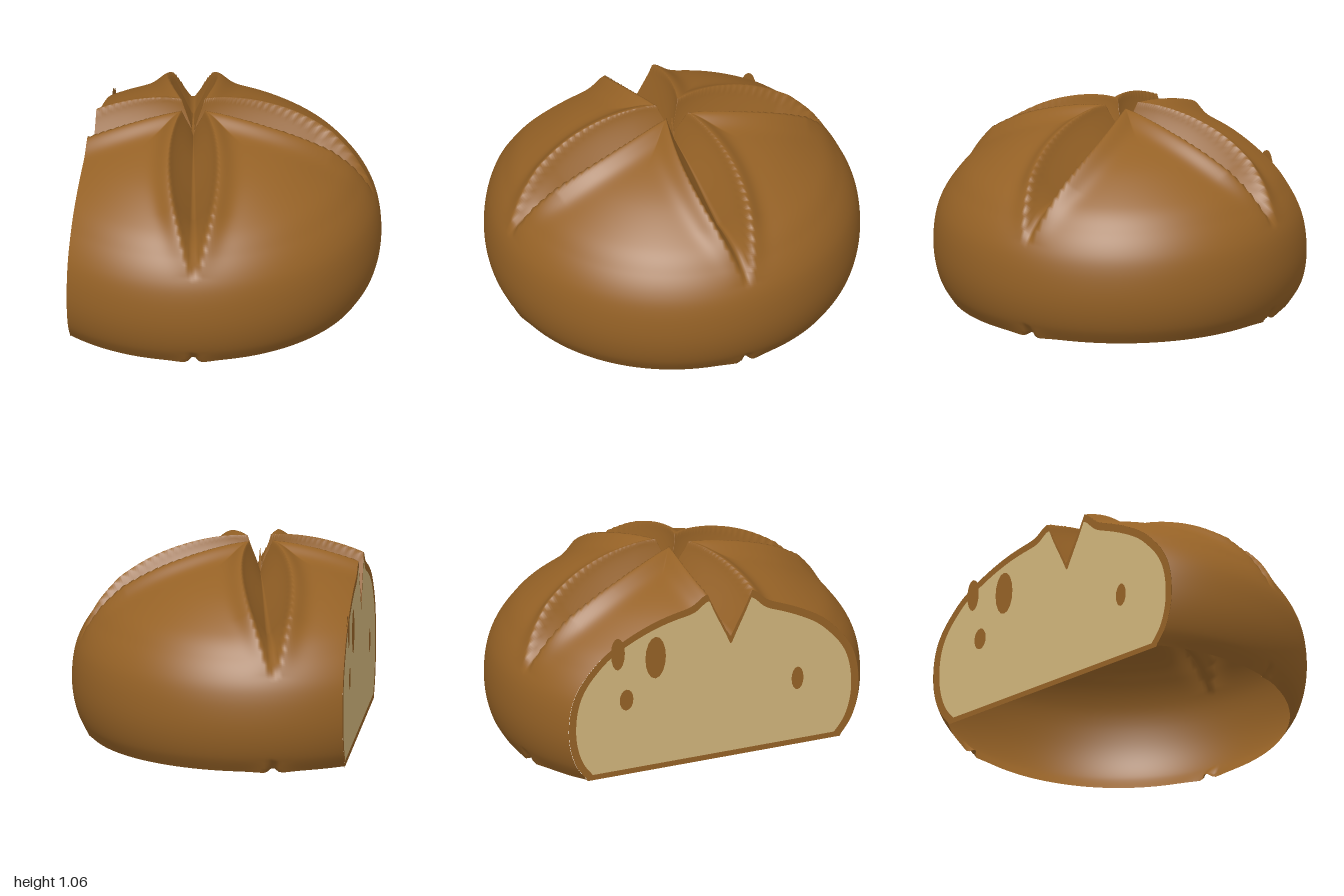
import * as THREE from 'three';
import { mergeVertices } from 'three/addons/utils/BufferGeometryUtils.js';

const CENTER_X = -0.21;          // axis of the round loaf
const CUT_X = -0.741, CUT_K = 0.059; // cut plane: x = CUT_X + CUT_K * z
const SLASH_LENGTH = 0.95;

const crust = new THREE.MeshStandardMaterial({ color: 0x966226, side: THREE.DoubleSide });
crust.name = 'crustBrown';
const crumb = new THREE.MeshStandardMaterial({ color: 0xd2b67c, side: THREE.DoubleSide });
crumb.name = 'crumbCream';

// Height offset of the crust: four leaf-shaped slashes with raised lips
function slashOffset(x, z) {
  let groove = 0, lip = 0;
  const dir = Math.atan2(0.9, 0.22);
  for (let i = 0; i < 4; i++) {
    const a = dir + i * Math.PI / 2;
    const t = x * Math.cos(a) + z * Math.sin(a);
    let s = Math.abs(-x * Math.sin(a) + z * Math.cos(a));
    if (t < 0) s = Math.hypot(s, t);
    const q = Math.min(1, Math.max(0, t / SLASH_LENGTH));
    if (t > SLASH_LENGTH) s = Math.hypot(s, t - SLASH_LENGTH);
    const w = 0.012 + 0.022 * (1 - q) + 0.1 * Math.pow(Math.sin(Math.PI * q), 0.8);
    const fade = Math.min(1, (1 - q) * 4);
    const g = Math.pow(Math.max(0, 1 - s / w), 0.75);
    const depth = (0.13 + 0.07 * Math.sin(Math.PI * q)) * Math.min(1, 0.1 + (1 - q) * 3);
    groove = Math.max(groove, g * (depth + 0.05 * fade));
    lip = Math.max(lip, 0.05 * fade * Math.exp(-Math.pow(Math.max(0, s - w) / 0.07, 2)));
  }
  return lip - groove;
}

// Round dome, displaced by the slashes
function makeDome() {
  const profile = new THREE.SplineCurve([
    [0.91, 0.008], [0.96, 0.09], [0.99, 0.19], [1, 0.3], [0.99, 0.42], [0.96, 0.52], [0.9, 0.62],
    [0.8, 0.73], [0.6, 0.865], [0.4, 0.95], [0.2, 0.997], [0, 1.01],
  ].map(([r, y]) => new THREE.Vector2(r, y)));
  const points = profile.getSpacedPoints(150);
  points[150].x = 0;
  const geo = new THREE.LatheGeometry(points, 300);
  const p = geo.attributes.position, n = geo.attributes.normal;
  for (let i = 0; i < p.count; i++) {
    const x = p.getX(i), y = p.getY(i), z = p.getZ(i);
    const d = slashOffset(x, z), h = d * Math.min(1, Math.hypot(x, z) * 2);
    p.setXYZ(i, CENTER_X + x + n.getX(i) * h, y + n.getY(i) * d, z + n.getZ(i) * h);
  }
  geo.deleteAttribute('uv');
  geo.deleteAttribute('normal');
  const merged = mergeVertices(geo, 1e-5);
  merged.computeVertexNormals();
  return merged;
}

// Slice away everything beyond the cut plane; also return the section outline
function sliceDome(geo) {
  const p = geo.attributes.position, n = geo.attributes.normal, index = geo.index;
  const positions = [], normals = [], outline = [];
  for (let i = 0; i < index.count; i += 3) {
    const tri = [0, 1, 2].map((k) => {
      const pos = new THREE.Vector3().fromBufferAttribute(p, index.getX(i + k));
      const nor = new THREE.Vector3().fromBufferAttribute(n, index.getX(i + k));
      return { pos, nor, f: pos.x - CUT_X - CUT_K * pos.z };
    });
    const poly = [];
    tri.forEach((a, k) => {
      const b = tri[(k + 1) % 3];
      if (a.f >= 0) poly.push(a);
      if ((a.f >= 0) !== (b.f >= 0)) {
        const t = a.f / (a.f - b.f);
        const v = { pos: a.pos.clone().lerp(b.pos, t), nor: a.nor.clone().lerp(b.nor, t).normalize() };
        poly.push(v);
        outline.push(new THREE.Vector2(v.pos.z, v.pos.y));
      }
    });
    for (let k = 1; k + 1 < poly.length; k++) {
      for (const v of [poly[0], poly[k], poly[k + 1]]) {
        positions.push(v.pos.x, v.pos.y, v.pos.z);
        normals.push(v.nor.x, v.nor.y, v.nor.z);
      }
    }
  }
  const out = new THREE.BufferGeometry();
  out.setAttribute('position', new THREE.Float32BufferAttribute(positions, 3));
  out.setAttribute('normal', new THREE.Float32BufferAttribute(normals, 3));
  return { geometry: mergeVertices(out, 1e-5), outline };
}

export function createModel() {
  const loaf = new THREE.Group();
  loaf.name = 'slicedLoaf';
  const add = (parent, geo, mat, name) => {
    const mesh = new THREE.Mesh(geo, mat);
    mesh.name = name;
    parent.add(mesh);
    return mesh;
  };

  const { geometry, outline } = sliceDome(makeDome());
  add(loaf, geometry, crust, 'crustDome');

  // Order the section outline around an inner point and drop repeats
  const c = new THREE.Vector2(0.17, 0.3);
  const angle = (v) => Math.atan2(v.x - c.x, v.y - c.y);
  const rim = outline.sort((a, b) => angle(b) - angle(a))
    .filter((v, i, all) => i === 0 || v.distanceTo(all[i - 1]) > 0.002);
  rim.forEach((v) => { if (v.y < 0.012) v.y = 0; });
  const inner = rim.map((v) => {
    const d = v.clone().sub(c);
    const q = c.clone().addScaledVector(d, 1 - 0.042 / d.length());
    q.y = Math.max(q.y, 0.03);
    return q;
  });

  // Cut face: u runs along z, v runs up
  const cutFace = new THREE.Group();
  cutFace.name = 'cutFace';
  cutFace.matrixAutoUpdate = true;
  cutFace.position.x = CUT_X;
  cutFace.rotation.y = -Math.PI / 2 + Math.atan(CUT_K);
  loaf.add(cutFace);
  const crustRing = new THREE.Shape(rim);
  crustRing.holes.push(new THREE.Path(inner));
  add(cutFace, new THREE.ShapeGeometry(crustRing), crust, 'cutCrustEdge');
  add(cutFace, new THREE.ShapeGeometry(new THREE.Shape(inner)), crumb, 'cutCrumb');

  // Air holes, shown on both sides of the crumb: z, y, half width, half height
  const holes = [
    [-0.31, 0.645, 0.06, 0.12], [-0.53, 0.7, 0.04, 0.09], [-0.48, 0.43, 0.04, 0.06], [0.52, 0.38, 0.035, 0.065],
  ];
  for (const [u, v, rx, ry] of holes) {
    for (const side of [-1, 1]) {
      const hole = add(cutFace, new THREE.CircleGeometry(1, 16), crust, 'airHole');
      hole.scale.set(rx, ry, 1);
      hole.position.set(u, v, side * 0.004);
    }
  }
  return loaf;
}
